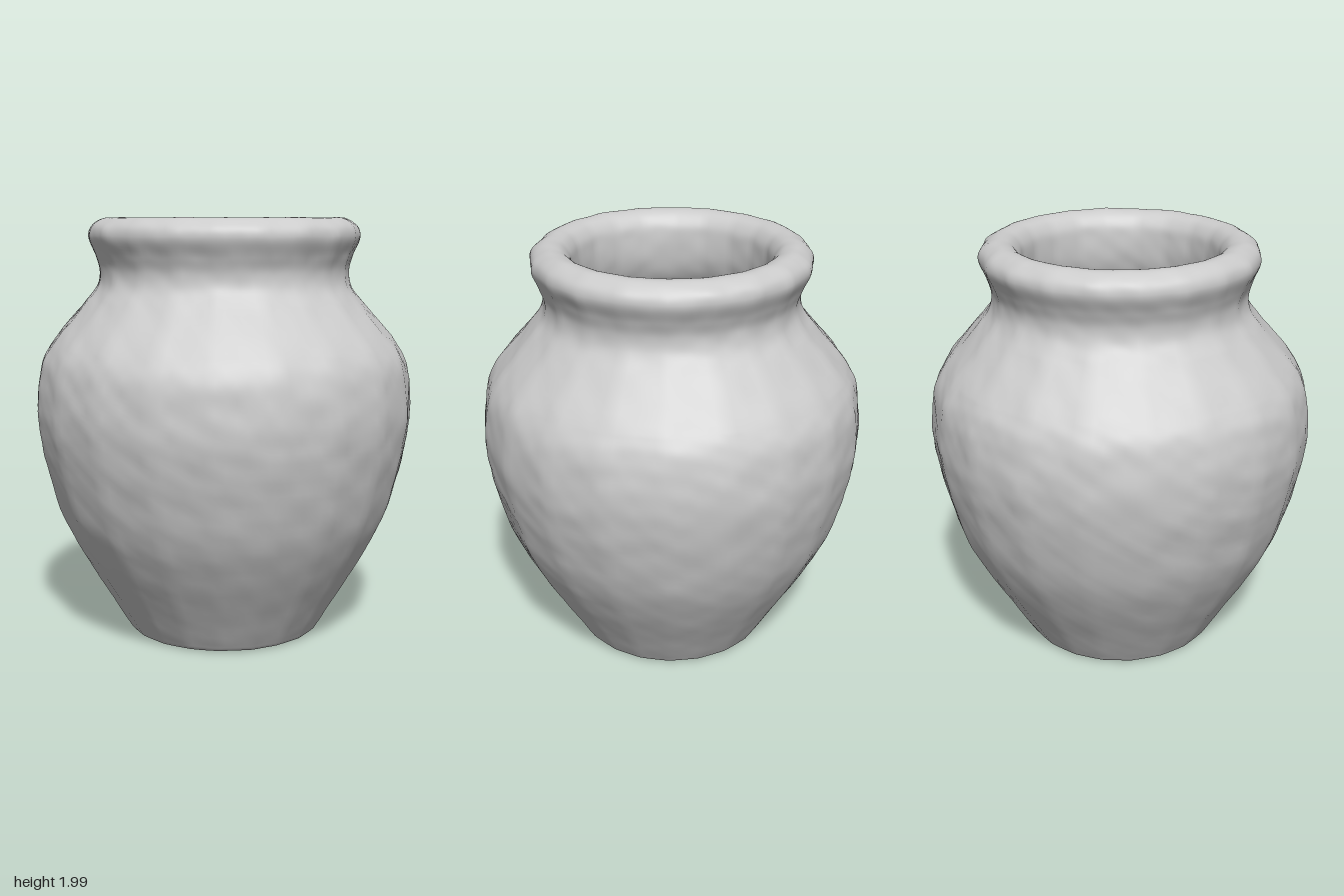
import * as THREE from 'three';
import { mergeVertices } from 'three/addons/utils/BufferGeometryUtils.js';

const SIDES = 20; // soft facets around the body

// Closed wall profile [radius, height]: base, outside, rim, inside, floor
const PROFILE = [
  [0, 0.01], [0.2, 0.01], [0.44, 0.01], [0.456, 0.016], [0.48, 0.05],
  [0.57, 0.2], [0.69, 0.4], [0.79, 0.6], [0.85, 0.8], [0.885, 0.97], [0.897, 1.1],
  [0.887, 1.23], [0.865, 1.33], [0.82, 1.41], [0.66, 1.6], [0.603, 1.68],
  [0.592, 1.75], [0.612, 1.82], [0.643, 1.9], [0.633, 1.945], [0.59, 1.98],
  [0.55, 1.99], [0.5, 1.975], [0.465, 1.93], [0.455, 1.87], [0.46, 1.75],
  [0.5, 1.64], [0.68, 1.42], [0.76, 1.25], [0.785, 1.1], [0.76, 0.88],
  [0.67, 0.6], [0.56, 0.38], [0.42, 0.17], [0.38, 0.12], [0.34, 0.105], [0.15, 0.1], [0, 0.1],
];

// Smooth hand-worked bumps
function bumps(x, y, z) {
  return Math.sin(17 * x + 5 * y + 1) * Math.sin(23 * y + 4 * z) * Math.sin(19 * z - 6 * x + 2)
    + 0.5 * Math.sin(37 * x - 11 * z) * Math.sin(49 * y + 9 * x) * Math.sin(41 * z + 7 * y + 1);
}

export function createModel() {
  const group = new THREE.Group();
  group.name = 'clayPot';

  // Turn the sampled profile around the axis
  const curve = new THREE.CatmullRomCurve3(
    PROFILE.map(([r, y]) => new THREE.Vector3(r, y, 0)), false, 'centripetal');
  const points = curve.getPoints(222).map((p) => new THREE.Vector2(Math.max(0, p.x), p.y));
  points[0].x = points[points.length - 1].x = 0;
  let geometry = new THREE.LatheGeometry(points, 120);

  // Weld the seam, then press in the facets and bumps
  geometry.deleteAttribute('uv');
  geometry.deleteAttribute('normal');
  geometry = mergeVertices(geometry, 1e-5);
  const pos = geometry.attributes.position;
  const step = (2 * Math.PI) / SIDES;
  for (let i = 0; i < pos.count; i++) {
    const x = pos.getX(i), y = pos.getY(i), z = pos.getZ(i);
    const angle = Math.atan2(z, x);
    const local = angle - Math.round(angle / step - 0.5) * step - step / 2;
    const polygon = Math.cos(step / 2) / Math.cos(local);
    const bump = bumps(x, y, z);
    const scale = THREE.MathUtils.lerp(1, polygon, 0.75) + 0.005 * bump;
    pos.setXYZ(i, x * scale, y + 0.002 * bump, z * scale);
  }
  geometry.computeVertexNormals();

  const pot = new THREE.Mesh(geometry, new THREE.MeshStandardMaterial({ color: 0xcccccc }));
  pot.name = 'potBody';
  group.add(pot);
  return group;
}
